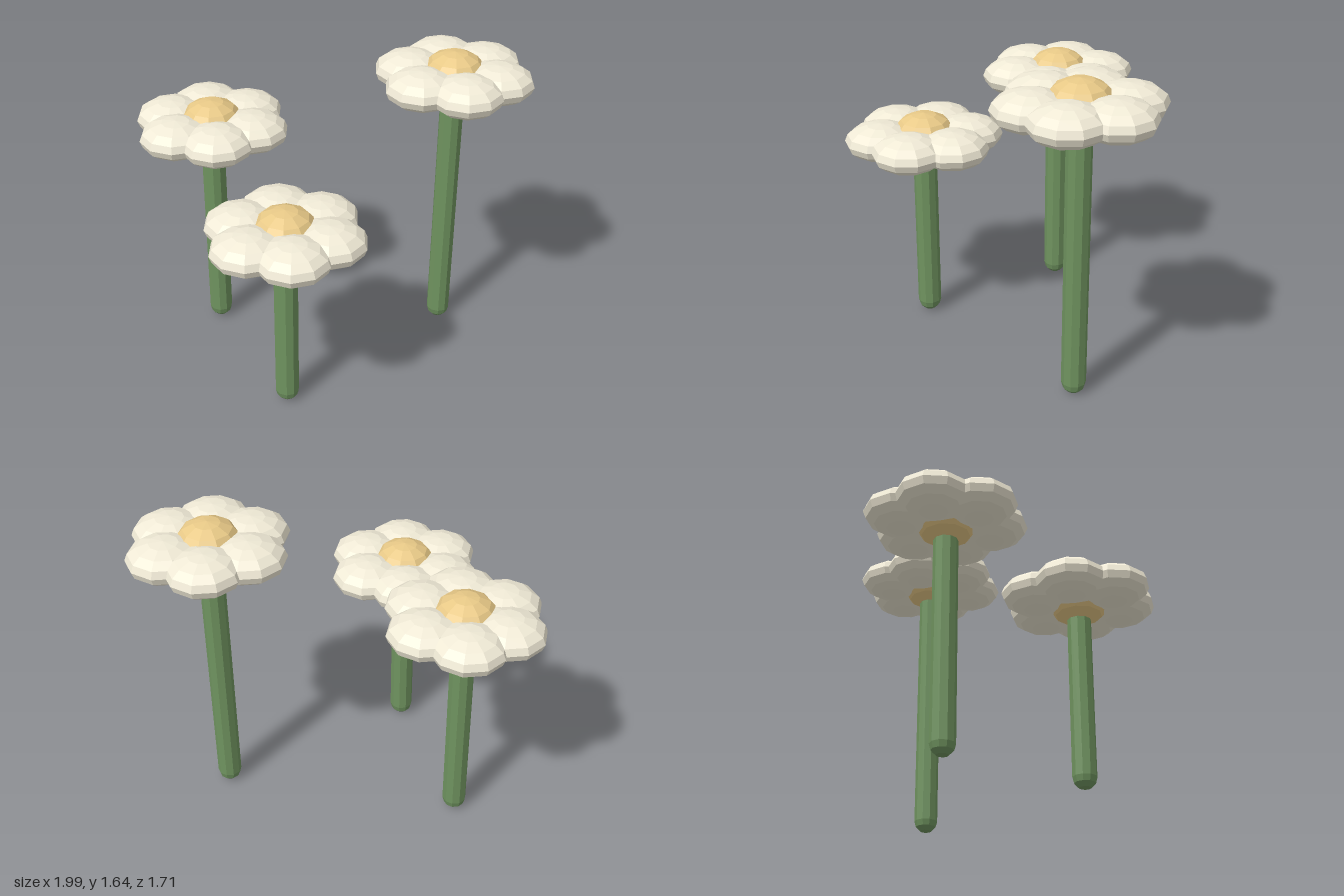
import * as THREE from 'three';

const petalMat = new THREE.MeshStandardMaterial({ color: 0xf0ead6, flatShading: true });
const centreMat = new THREE.MeshStandardMaterial({ color: 0xe8c987, flatShading: true });
const stemMat = new THREE.MeshStandardMaterial({ color: 0x6f935f, flatShading: true });

const PETALS = 6;
const PETAL_DISTANCE = 0.224;
const STEM_RADIUS = 0.062;

function part(name, geometry, material, x, y, z) {
  const mesh = new THREE.Mesh(geometry, material);
  mesh.name = name;
  mesh.position.set(x, y, z);
  return mesh;
}

// One flower standing on the ground with its head at the given height
function makeFlower(headY) {
  const flower = new THREE.Group();
  flower.name = 'flower';

  // Round-ended stem, its top hidden inside the centre
  const stemGeo = new THREE.CapsuleGeometry(STEM_RADIUS, headY - 2 * STEM_RADIUS, 3, 10);
  flower.add(part('stem', stemGeo, stemMat, 0, headY / 2 + 0.005, 0));

  // Domed centre
  const centreGeo = new THREE.SphereGeometry(0.17, 10, 8).scale(1, 0.77, 1);
  flower.add(part('flowerCentre', centreGeo, centreMat, 0, headY + 0.003, 0));

  // Ring of flattened round petals
  const petalGeo = new THREE.SphereGeometry(0.188, 10, 8).scale(1, 0.5, 1);
  for (let i = 0; i < PETALS; i++) {
    const a = (i / PETALS) * Math.PI * 2;
    flower.add(part('petal', petalGeo, petalMat,
      Math.cos(a) * PETAL_DISTANCE, headY, Math.sin(a) * PETAL_DISTANCE));
  }
  return flower;
}

export function createModel() {
  const model = new THREE.Group();
  model.name = 'flowers';
  // x, z and head height of each flower
  for (const [x, z, headY] of [[-0.585, -0.07, 1.234], [0.03, 0.479, 1.031], [0.58, -0.482, 1.512]]) {
    const flower = makeFlower(headY);
    flower.position.set(x, 0, z);
    model.add(flower);
  }
  return model;
}
